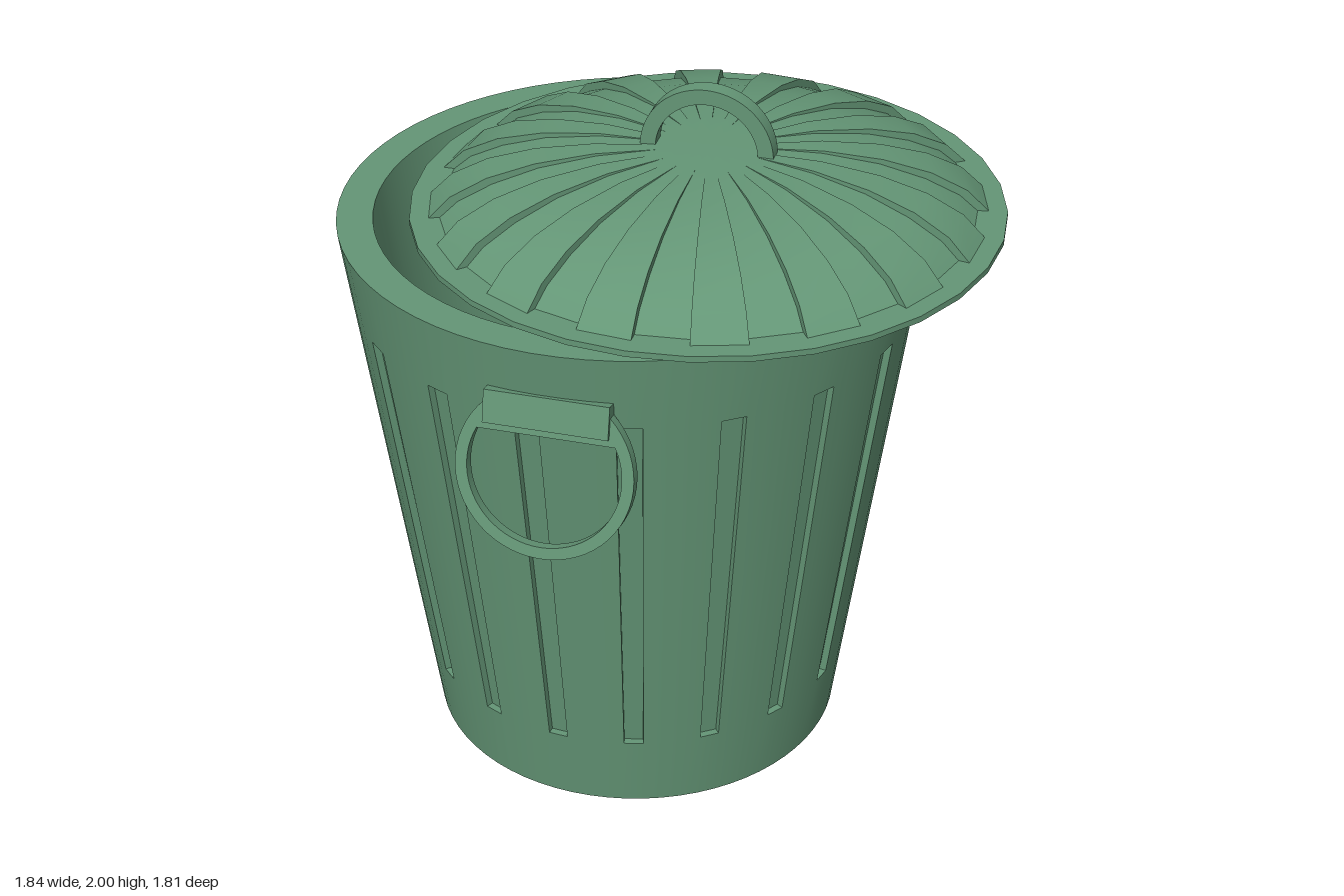
import * as THREE from 'three';
import { toCreasedNormals } from 'three/addons/utils/BufferGeometryUtils.js';

const DEG = Math.PI / 180;
const green = new THREE.MeshStandardMaterial({ color: 0x649676, side: THREE.DoubleSide });

function addMesh(parent, name, geometry, crease = 30) {
  const mesh = new THREE.Mesh(toCreasedNormals(geometry, crease * DEG), green);
  mesh.name = name;
  parent.add(mesh);
  return mesh;
}

// Point at an angle measured from +z towards +x
const polar = (r, y, deg) => new THREE.Vector3(r * Math.sin(deg * DEG), y, r * Math.cos(deg * DEG));

// Skin rows of points (bottom to top), skipping collapsed triangles
function skin(rows) {
  const pos = [];
  const tri = (a, b, c) => {
    const area = b.clone().sub(a).cross(c.clone().sub(a)).length();
    if (area > 1e-8) for (const p of [a, b, c]) pos.push(p.x, p.y, p.z);
  };
  for (let i = 0; i < rows.length - 1; i++) {
    const low = rows[i], high = rows[i + 1];
    for (let j = 0; j < low.length - 1; j++) {
      tri(low[j], low[j + 1], high[j + 1]);
      tri(low[j], high[j + 1], high[j]);
    }
  }
  const g = new THREE.BufferGeometry();
  g.setAttribute('position', new THREE.Float32BufferAttribute(pos, 3));
  return g;
}

function lathe(points, segments, startDeg = 0) {
  return new THREE.LatheGeometry(points.map(p => new THREE.Vector2(...p)), segments, startDeg * DEG);
}

// Tapered wall with 18 sunken vertical grooves
function grooveWall() {
  const wallRadius = y => 0.595 + 0.22 * y / 1.61;
  const columns = []; // [angle, is in groove]
  for (let k = 0; k < 18; k++) {
    const a = -5 + 20 * k;
    columns.push([a - 2.5, 0], [a - 2.5, 1], [a + 2.5, 1], [a + 2.5, 0], [a + 7.5, 0], [a + 12.5, 0]);
  }
  columns.push([columns[0][0] + 360, 0]);
  const levels = [[0, 0], [0.23, 0], [0.23, 1], [1.39, 1], [1.39, 0], [1.61, 0]];
  return skin(levels.map(([y, sunk]) =>
    columns.map(([a, groove]) => polar(wallRadius(y) - 0.02 * sunk * groove, y, a))));
}

// Domed lid with 16 alternating ridges and grooves
function lidDome() {
  // [ridge radius, ridge y, groove radius, groove y]
  const profile = [
    [0.765, 1.65, 0.735, 1.65], [0.70, 1.715, 0.68, 1.70], [0.60, 1.765, 0.585, 1.747],
    [0.47, 1.80, 0.46, 1.787], [0.31, 1.82, 0.305, 1.813], [0.14, 1.822, 0.14, 1.822], [0, 1.822, 0, 1.822],
  ];
  const columns = [];
  for (let k = 0; k < 16; k++) {
    const a = 22.5 * k;
    columns.push([a, 0], [a, 1], [a + 11.25, 1], [a + 11.25, 0]);
  }
  columns.push([360, 0]);
  return skin(profile.map(([r, y, gr, gy]) =>
    columns.map(([a, groove]) => (groove ? polar(gr, gy, a) : polar(r, y, a)))));
}

// Flat pull ring with a straight hinge bar across its top
function pullRing() {
  const shape = new THREE.Shape();
  const R = 0.24, r = 0.208, w = 0.168, chord = 0.095;
  const outer = Math.acos(w / R), inner = Math.asin(chord / r);
  shape.moveTo(w, 0.205);
  shape.absarc(0, 0, R, outer, Math.PI - outer, true);
  shape.lineTo(-w, 0.205);
  shape.closePath();
  const hole = new THREE.Path();
  hole.absarc(0, 0, r, inner, Math.PI - inner, true);
  hole.closePath();
  shape.holes.push(hole);
  const g = new THREE.ExtrudeGeometry(shape, { depth: 0.034, bevelEnabled: false, curveSegments: 22 });
  return g.translate(0, 0, -0.017);
}

// Half-ring grip for the lid
function archGrip() {
  const shape = new THREE.Shape();
  shape.moveTo(0.185, -0.02);
  shape.absarc(0, 0, 0.185, 0, Math.PI, false);
  shape.lineTo(-0.185, -0.02);
  shape.lineTo(-0.142, -0.02);
  shape.absarc(0, 0, 0.142, Math.PI, 0, true);
  shape.lineTo(0.142, -0.02);
  shape.closePath();
  const g = new THREE.ExtrudeGeometry(shape, { depth: 0.05, bevelEnabled: false, curveSegments: 20 });
  return g.translate(0, 0, -0.025);
}

export function createModel() {
  const model = new THREE.Group();
  model.name = 'trashCan';

  // Can, set to one side of the origin
  const can = new THREE.Group();
  can.name = 'can';
  can.position.x = -0.105;
  model.add(can);
  addMesh(can, 'groovedWall', grooveWall());
  addMesh(can, 'rimAndInside', lathe([[0.815, 1.61], [0.715, 1.61], [0.53, 0.08], [0, 0.08]], 72, 2.5));
  addMesh(can, 'base', lathe([[0, 0], [0.595, 0]], 72, 2.5));

  // Front and back pull rings leaning out from the wall
  for (const [side, turn] of [['front', 0], ['back', Math.PI]]) {
    const handle = new THREE.Group();
    handle.name = side + 'Handle';
    handle.rotation.y = turn;
    can.add(handle);
    const ring = addMesh(handle, side + 'PullRing', pullRing());
    ring.position.set(0, 1.275, 0.832);
    ring.rotation.x = -13.5 * DEG;
    const hinge = addMesh(handle, side + 'Hinge', new THREE.BoxGeometry(0.336, 0.09, 0.06));
    hinge.position.set(0, 1.43, 0.793);
    hinge.rotation.x = -13.5 * DEG;
  }

  // Lid slid to the other side
  const lid = new THREE.Group();
  lid.name = 'lid';
  lid.position.x = 0.105;
  model.add(lid);
  addMesh(lid, 'lidDome', lidDome());
  addMesh(lid, 'lidFlange', lathe(
    [[0.73, 1.638], [0.812, 1.638], [0.812, 1.655], [0.73, 1.655], [0.73, 1.638]], 32));
  addMesh(lid, 'lidGrip', archGrip()).position.y = 1.815;

  return model;
}
